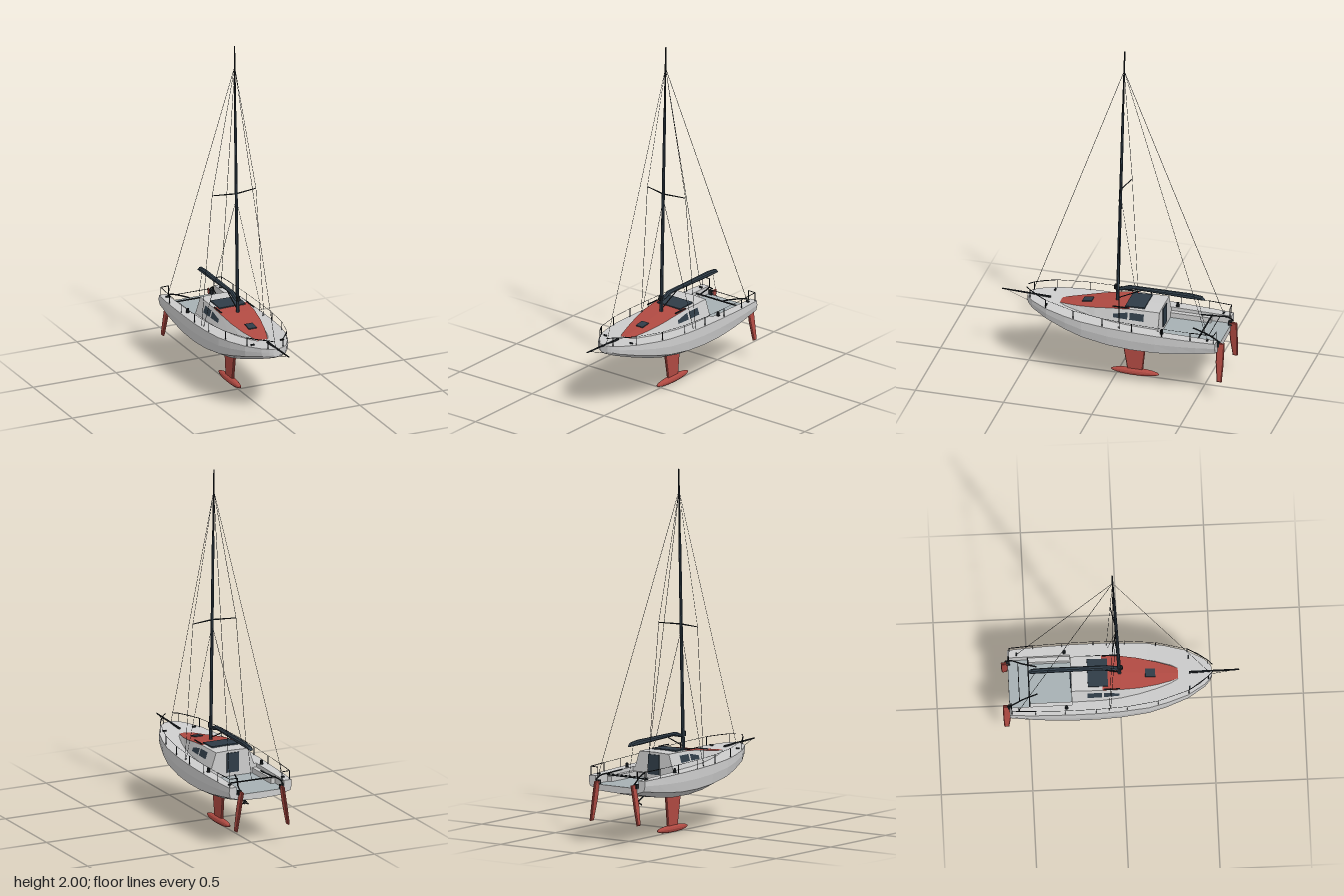
import * as THREE from 'three';

const paint = (color) => new THREE.MeshStandardMaterial({ color, flatShading: true, side: THREE.DoubleSide });
const grey = paint(0xcccccc), red = paint(0xb04a42), dark = paint(0x2f3c47);
const black = paint(0x1d2226), sole = paint(0xa6b0b3);

// Piecewise linear lookup in columns of [z, value...]
function at(table, z, k) {
  for (let i = 0; i < table.length - 1; i++) {
    const a = table[i], b = table[i + 1];
    if (z <= a[0] && z >= b[0]) return a[k] + (b[k] - a[k]) * (a[0] - z) / (a[0] - b[0]);
  }
  return table[z > table[0][0] ? 0 : table.length - 1][k];
}

// z, half beam, deck height, keel height
const HULL = [
  [0.5, 0.022, 0.418, 0.37], [0.49, 0.042, 0.418, 0.364], [0.46, 0.074, 0.415, 0.35],
  [0.365, 0.13, 0.407, 0.318], [0.25, 0.166, 0.396, 0.28], [0.15, 0.188, 0.388, 0.252],
  [0, 0.2, 0.379, 0.225], [-0.13, 0.204, 0.374, 0.215], [-0.27, 0.204, 0.37, 0.218],
  [-0.4, 0.201, 0.367, 0.235], [-0.5, 0.197, 0.365, 0.255], [-0.61, 0.189, 0.363, 0.28]];
// z, base half width, roof half width, roof height
const CABIN = [
  [0.315, 0.033, 0.029, 0.403], [0.28, 0.052, 0.043, 0.408], [0.2, 0.079, 0.066, 0.418],
  [0.1, 0.104, 0.087, 0.434], [0, 0.121, 0.098, 0.45], [-0.1, 0.129, 0.102, 0.46], [-0.27, 0.13, 0.1, 0.461]];
const STERN = -0.61, PIT = -0.27, PITX = 0.145, FLOOR = 0.318;
const beam = (z) => at(HULL, z, 1), deckY = (z) => at(HULL, z, 2), roofY = (z) => at(CABIN, z, 3);

export function createModel() {
  const boat = new THREE.Group();
  boat.name = 'sailingYacht';

  function add(name, geometry, material, x = 0, y = 0, z = 0) {
    const m = new THREE.Mesh(geometry, material);
    m.name = name;
    m.position.set(x, y, z);
    boat.add(m);
    return m;
  }
  const box = (name, mat, w, h, d, x, y, z) => add(name, new THREE.BoxGeometry(w, h, d), mat, x, y, z);

  // Skin over rows of points
  function loft(name, rows, mat) {
    const n = rows[0].length, index = [];
    for (let i = 0; i < rows.length - 1; i++) for (let j = 0; j < n - 1; j++) {
      const a = i * n + j, d = a + n;
      index.push(a, a + 1, d + 1, a, d + 1, d);
    }
    const g = new THREE.BufferGeometry();
    g.setAttribute('position', new THREE.Float32BufferAttribute(rows.flat(2), 3));
    g.setIndex(index);
    g.computeVertexNormals();
    return add(name, g, mat);
  }

  // Flat wall in the xy plane
  const wall = (name, pts, z, mat) =>
    add(name, new THREE.ShapeGeometry(new THREE.Shape(pts.map((p) => new THREE.Vector2(...p)))), mat, 0, 0, z);

  // Plate drawn as [z, y], with thickness along x and bevelled edges
  function plate(name, pts, t, mat, bevel = 0) {
    const g = new THREE.ExtrudeGeometry(new THREE.Shape(pts.map((p) => new THREE.Vector2(...p))), {
      depth: t - 2 * bevel, bevelEnabled: bevel > 0, bevelSize: bevel, bevelThickness: bevel, bevelOffset: -bevel, bevelSegments: 1 });
    g.translate(0, 0, bevel - t / 2).rotateY(-Math.PI / 2);
    return add(name, g, mat);
  }

  // Straight round bar between two points
  function rod(name, a, b, r0, r1 = r0, mat = black, sides = 6) {
    const p = new THREE.Vector3(...a), q = new THREE.Vector3(...b), d = q.clone().sub(p);
    const m = add(name, new THREE.CylinderGeometry(r1, r0, d.length(), sides), mat);
    m.position.copy(p).lerp(q, 0.5);
    m.quaternion.setFromUnitVectors(new THREE.Vector3(0, 1, 0), d.normalize());
    return m;
  }
  function wire(name, pts, r = 0.0012) {
    for (let i = 0; i < pts.length - 1; i++) rod(name, pts[i], pts[i + 1], r, r, black, 4);
  }

  // Hull: half section mirrored, then skinned bow to stern
  const SECTION = [[1, 0], [1.01, 0.33], [0.97, 0.7], [0.62, 0.95], [0, 1]];
  const ring = ([z, w, d, k]) => {
    const half = SECTION.map(([u, v]) => [w * u, d + (k - d) * v, z]);
    return [...half, ...half.slice(0, -1).reverse().map(([x, y, c]) => [-x, y, c])];
  };
  loft('hull', HULL.map(ring), grey);
  wall('bowFace', ring(HULL[0]).reverse(), 0.5, grey);
  wall('transom', [...ring(HULL[HULL.length - 1]), [-PITX, deckY(STERN)], [-PITX, FLOOR], [PITX, FLOOR], [PITX, deckY(STERN)]]
    .map((p) => [p[0], p[1]]), STERN, grey);

  // Decks and the open-backed cockpit
  const fore = HULL.filter((s) => s[0] >= PIT), aft = HULL.filter((s) => s[0] <= PIT);
  loft('foredeck', fore.map(([z, w, d]) => [[-w, d, z], [w, d, z]]), grey);
  loft('leftSideDeck', aft.map(([z, w, d]) => [[PITX, d, z], [w, d, z]]), grey);
  loft('rightSideDeck', aft.map(([z, w, d]) => [[-w, d, z], [-PITX, d, z]]), grey);
  loft('cockpitFloor', aft.map(([z]) => [[-PITX, FLOOR, z], [PITX, FLOOR, z]]), sole);
  for (const s of [1, -1]) {
    loft('cockpitSide', aft.map(([z, , d]) => [[s * PITX, FLOOR, z], [s * PITX, d, z]]), grey);
    box('cockpitBench', grey, 0.026, 0.03, 0.23, s * 0.132, FLOOR + 0.015, -0.385);
  }

  // Cabin sides, roof and aft bulkhead
  for (const s of [1, -1]) {
    loft('cabinSide', CABIN.map(([z, b, r, y]) => {
      const row = [[s * r, y, z], [s * b, deckY(z) - 0.002, z]];
      return s > 0 ? row : row.reverse();
    }), grey);
  }
  const roof = (rows) => rows.map(([z, , r, y]) => [[-r, y, z], [0, y + 0.003, z], [r, y, z]]);
  loft('redCoachroof', roof(CABIN.slice(0, 6)), red);
  loft('aftCoachroof', roof(CABIN.slice(5)), grey);
  wall('cabinFront', [[-0.033, 0.395], [0.033, 0.395], [0.029, 0.403], [-0.029, 0.403]], 0.315, red);
  wall('cabinBulkhead', [[-PITX, FLOOR], [PITX, FLOOR], [PITX, 0.37], [0.13, 0.37], [0.1, 0.461], [0, 0.464],
    [-0.1, 0.461], [-0.13, 0.37], [-PITX, 0.37]], PIT, grey);
  box('companionwayDoor', dark, 0.075, 0.11, 0.006, 0, 0.395, PIT - 0.002);

  // Cabin windows follow the sloping sides
  for (const s of [1, -1]) for (const [z0, z1, top] of [[-0.105, -0.185, 0.8], [-0.01, -0.093, 0.62]]) {
    const pt = (z, t) => [s * (THREE.MathUtils.lerp(at(CABIN, z, 1), at(CABIN, z, 2), t) + 0.003),
      THREE.MathUtils.lerp(deckY(z), roofY(z), t), z];
    loft('cabinWindow', [[pt(z0, top), pt(z0, 0.36)], [pt(z1, 0.8), pt(z1, 0.36)]], dark);
  }
  box('mainHatch', dark, 0.16, 0.008, 0.11, 0, 0.463, -0.125).rotation.x = 0.04;
  box('foreHatch', dark, 0.047, 0.008, 0.055, 0, roofY(0.163) + 0.004, 0.163).rotation.x = 0.15;

  // Keel fin and ballast bulb
  plate('keelFin', [[-0.028, 0.225], [-0.168, 0.225], [-0.148, 0.035], [-0.06, 0.035]], 0.014, red, 0.004);
  add('keelBulb', new THREE.SphereGeometry(1, 12, 12).rotateX(Math.PI / 2).scale(0.022, 0.021, 0.137), red, 0, 0.021, -0.103);

  // Splayed twin rudders with tillers
  for (const s of [1, -1]) {
    const r = plate('rudder', [[-0.603, 0.11], [-0.647, 0.11], [-0.645, -0.02], [-0.64, -0.115], [-0.613, -0.115], [-0.602, 0]],
      0.014, red, 0.004);
    r.position.set(s * 0.141, 0.23, 0);
    r.rotation.z = s * 0.16;
    box('rudderBracket', black, 0.02, 0.025, 0.02, s * 0.128, 0.33, -0.608);
    const curve = new THREE.CatmullRomCurve3([[0.132, 0.345, -0.625], [0.128, 0.365, -0.59], [0.104, 0.375, -0.535], [0.079, 0.385, -0.455]]
      .map(([x, y, z]) => new THREE.Vector3(s * x, y, z)));
    add('tiller', new THREE.TubeGeometry(curve, 10, 0.004, 6), black);
  }
  wire('tillerLink', [[-0.11, 0.373, -0.555], [0.11, 0.373, -0.555]], 0.002);
  box('sheetTraveller', black, 0.29, 0.006, 0.007, 0, 0.355, -0.5);

  // Propeller on its shaft
  rod('propellerShaft', [0, 0.235, -0.36], [0, 0.206, -0.42], 0.004);
  for (const a of [0, 1, 2]) {
    const b = box('propellerBlade', black, 0.008, 0.04, 0.003, 0, 0.206, -0.42);
    b.geometry.translate(0, 0.008, 0);
    b.rotation.set(-0.4, 0, a * Math.PI * 2 / 3);
  }

  // Raked mast, boom with stowed sail, bowsprit
  rod('lowerMast', [0, 0.445, -0.004], [0, 1.62, -0.035], 0.01, 0.0075, dark, 8);
  rod('topMast', [0, 1.6, -0.0345], [0, 2, -0.045], 0.006, 0.004, black, 8);
  plate('stowedSail', [[-0.01, 0.512], [-0.015, 0.528], [-0.07, 0.55], [-0.42, 0.55], [-0.483, 0.543], [-0.5, 0.522],
    [-0.4, 0.522], [-0.1, 0.531]], 0.026, dark, 0.007);
  rod('gooseneck', [0, 0.52, 0.004], [0, 0.545, 0.002], 0.012, 0.012, black, 8);
  rod('boomVang', [0, 0.465, -0.008], [0, 0.528, -0.14], 0.003);
  wire('mainSheet', [[0, 0.525, -0.46], [0, 0.355, -0.5]]);
  rod('bowsprit', [0, 0.413, 0.375], [0, 0.424, 0.65], 0.007, 0.004);
  wire('bobstay', [[0, 0.423, 0.63], [0, 0.37, 0.495]]);

  // Standing rigging
  const head = [0, 1.88, -0.042];
  wire('forestay', [head, [0, 0.418, 0.48]]);
  for (const s of [1, -1]) {
    const tip = [s * 0.132, 1.14, -0.05], chain = [s * 0.188, 0.377, -0.068];
    rod('spreader', [0, 1.14, -0.022], tip, 0.004, 0.0025);
    wire('capShroud', [head, tip, chain]);
    wire('lowerShroud', [[0, 1.11, -0.022], [s * 0.178, 0.377, -0.06]]);
    wire('backstay', [head, [s * 0.162, 0.365, -0.56]]);
  }

  // Guard rails with stanchions, plus deck fittings
  for (const s of [1, -1]) {
    const rail = (z, h = 0.048) => [s * (beam(z) - 0.007), deckY(z) + h, z];
    const posts = [0.48, 0.37, 0.2, 0.03, -0.14, -0.31, -0.47, -0.6];
    posts.forEach((z) => rod('stanchion', rail(z, 0), rail(z), 0.0022, 0.0022, black, 5));
    wire('lifeline', posts.map((z) => rail(z)));
    wire('pulpit', [rail(0.37), rail(0.43), rail(0.48), [s * 0.02, 0.464, 0.505]], 0.0025);
    wire('pushpit', [rail(-0.47), rail(-0.6), [s * 0.135, 0.411, -0.603], [s * 0.135, 0.36, -0.603]], 0.0025);
    add('winch', new THREE.CylinderGeometry(0.007, 0.01, 0.024, 10), black, s * 0.162, 0.381, -0.3);
    box('sternCleat', black, 0.018, 0.008, 0.008, s * 0.162, 0.368, -0.56);
    box('bowCleat', black, 0.02, 0.008, 0.008, s * 0.09, 0.411, 0.375);
    box('sheetTrack', black, 0.006, 0.005, 0.09, s * 0.112, 0.464, -0.05).position.x = s * 0.098;
  }
  return boat;
}
